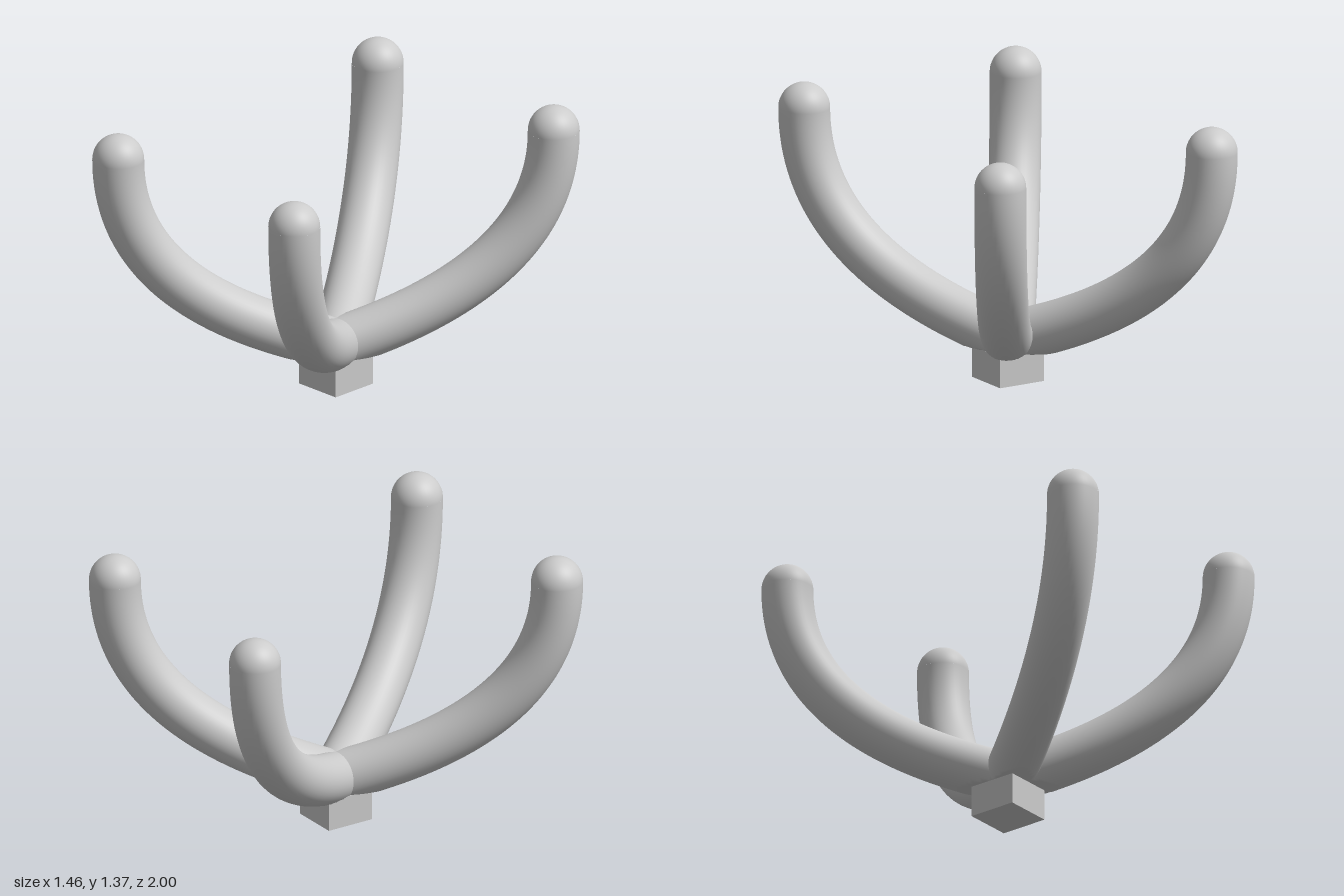
import * as THREE from 'three';

const RADIUS = 0.125, BASE_TOP = 0.155;
const TIP = { x: 0.603, y: 1.24, z: 0.875 };

// Curved round arm from the hub to a tip, cut flat where it meets the base
function armGeometry(sx, sz) {
  const end = new THREE.Vector3(sx * TIP.x, TIP.y, sz * TIP.z);
  const path = new THREE.QuadraticBezierCurve3(
    new THREE.Vector3(0, 0.21, 0),
    new THREE.Vector3(end.x, 0.505, end.z),
    end
  );
  const geo = new THREE.TubeGeometry(path, 72, RADIUS, 40);
  const pos = geo.attributes.position, normal = geo.attributes.normal;
  for (let i = 0; i < pos.count; i++) {
    if (pos.getY(i) < BASE_TOP) {
      pos.setY(i, BASE_TOP);
      normal.setXYZ(i, 0, -1, 0);
    }
  }
  return geo;
}

export function createModel() {
  const model = new THREE.Group();
  model.name = 'fourArmedHolder';
  const material = new THREE.MeshStandardMaterial({ color: 0xcccccc });

  // Square mounting block
  const base = new THREE.Mesh(new THREE.BoxGeometry(0.25, BASE_TOP, 0.25), material);
  base.name = 'base';
  base.position.y = BASE_TOP / 2;
  model.add(base);

  // Four arms, each with a domed tip
  const dome = new THREE.SphereGeometry(RADIUS, 40, 16, 0, Math.PI * 2, 0, Math.PI / 2);
  for (const sx of [1, -1]) {
    for (const sz of [1, -1]) {
      const arm = new THREE.Group();
      arm.name = (sz > 0 ? 'front' : 'back') + (sx > 0 ? 'Left' : 'Right') + 'Arm';
      const tube = new THREE.Mesh(armGeometry(sx, sz), material);
      tube.name = 'armTube';
      const tip = new THREE.Mesh(dome, material);
      tip.name = 'armTip';
      tip.position.set(sx * TIP.x, TIP.y, sz * TIP.z);
      arm.add(tube, tip);
      model.add(arm);
    }
  }
  return model;
}
